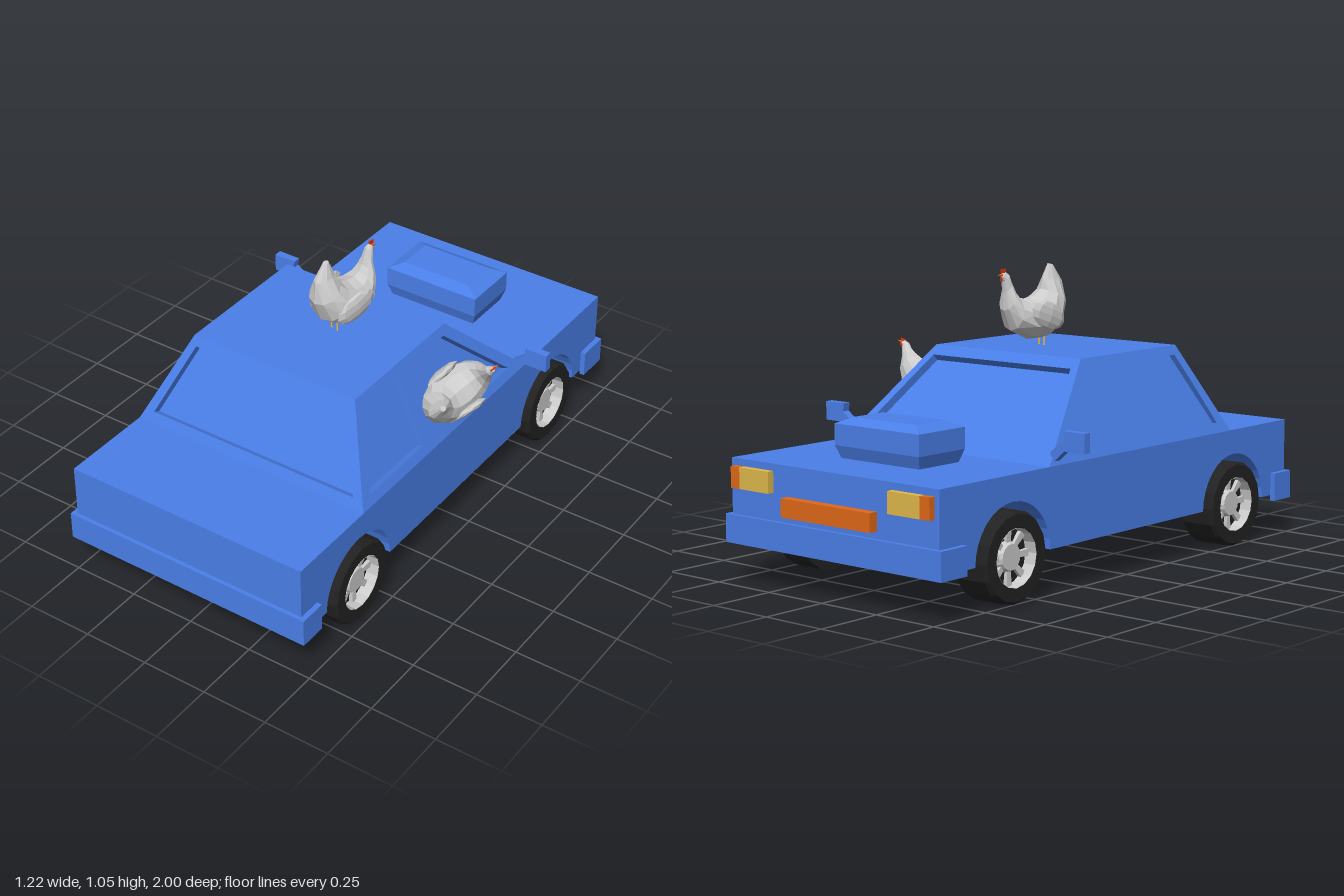
import * as THREE from 'three';

const mat = (color, extra = {}) => new THREE.MeshStandardMaterial({ color, flatShading: true, ...extra });
const BLUE = mat(0x4a7fe8), TYRE = mat(0x222222), GREY = mat(0xcccccc, { side: THREE.DoubleSide });
const ORANGE = mat(0xe06818), YELLOW = mat(0xe0b84a), RED = mat(0xcc3311);

function add(parent, name, geometry, material, x = 0, y = 0, z = 0) {
  const mesh = new THREE.Mesh(geometry, material);
  mesh.name = name;
  mesh.position.set(x, y, z);
  parent.add(mesh);
  return mesh;
}

function group(parent, name) {
  const g = new THREE.Group();
  g.name = name;
  parent.add(g);
  return g;
}

// Box given by its limits on each axis
function block(parent, name, material, [x0, x1], [y0, y1], [z0, z1]) {
  return add(parent, name, new THREE.BoxGeometry(x1 - x0, y1 - y0, z1 - z0), material,
    (x0 + x1) / 2, (y0 + y1) / 2, (z0 + z1) / 2);
}

// Skin over a row of equal-sized rings, closed at both ends
function loft(rings) {
  const n = rings[0].length, last = (rings.length - 1) * n, index = [];
  for (let i = 0; i < rings.length - 1; i++) {
    for (let j = 0; j < n; j++) {
      const a = i * n + j, b = i * n + (j + 1) % n;
      index.push(a, b, a + n, b, b + n, a + n);
    }
  }
  for (let j = 1; j < n - 1; j++) index.push(0, j + 1, j, last, last + j, last + j + 1);
  const g = new THREE.BufferGeometry().setFromPoints(rings.flat());
  g.setIndex(index);
  g.computeVertexNormals();
  return g;
}

// Sloping cabin wall with recessed windows; points are [distance along wall, height]
const SILL = 0.435, ROOF = 0.755, RECESS = 0.03;
function cabinWall(parent, name, base, along, slope, outline, windows) {
  const stretch = slope.length() / slope.y;
  const toShape = (pts, Type) => new Type(pts.map(([u, y]) => new THREE.Vector2(u, (y - SILL) * stretch)));
  const shape = toShape(outline, THREE.Shape);
  const pane = new THREE.ShapeGeometry(toShape(outline, THREE.Shape));
  shape.holes = windows.map((w) => toShape(w, THREE.Path));
  const frame = new THREE.ExtrudeGeometry(shape, { depth: RECESS, bevelEnabled: false });
  const up = slope.clone().normalize();
  const out = new THREE.Vector3().crossVectors(along, up);
  const wall = group(parent, name);
  wall.quaternion.setFromRotationMatrix(new THREE.Matrix4().makeBasis(along, up, out));
  wall.position.copy(base);
  add(wall, 'windowFrame', frame, BLUE, 0, 0, -RECESS);
  add(wall, 'windowPane', pane, BLUE, 0, 0, -RECESS);
}

const V = (x, y, z) => new THREE.Vector3(x, y, z);

function buildCabin(car) {
  const cabin = group(car, 'cabin');
  const wide = [[-0.478, SILL], [0.478, SILL], [0.3375, ROOF], [-0.3375, ROOF]];
  const screen = [[-0.425, 0.47], [0.425, 0.47], [0.32, 0.722], [-0.32, 0.722]];
  cabinWall(cabin, 'rearScreen', V(0, SILL, 0.625), V(1, 0, 0), V(0, 0.32, -0.155), wide, [screen]);
  cabinWall(cabin, 'windscreen', V(0, SILL, -0.42), V(-1, 0, 0), V(0, 0.32, 0.34), wide, [screen]);
  for (const s of [1, -1]) {
    const side = (pts) => pts.map(([z, y]) => [-s * z, y]);
    cabinWall(cabin, s > 0 ? 'leftSide' : 'rightSide', V(s * 0.478, SILL, 0), V(0, 0, -s), V(-s * 0.1405, 0.32, 0),
      side([[0.625, SILL], [-0.42, SILL], [-0.08, ROOF], [0.47, ROOF]]),
      [side([[0.56, 0.47], [0.23, 0.47], [0.23, 0.722], [0.45, 0.722]]),
        side([[0.03, 0.47], [-0.325, 0.47], [-0.055, 0.722], [0.075, 0.722]])]);
  }
  const roof = new THREE.PlaneGeometry(0.675, 0.55).rotateX(-Math.PI / 2);
  add(cabin, 'roof', roof, BLUE, 0, ROOF, 0.195);
}

const AXLES = [0.65, -0.605];

function buildBody(car) {
  const body = group(car, 'body');
  block(body, 'bodyCore', BLUE, [-0.31, 0.31], [0.155, SILL], [-0.965, 0.985]);
  // Flanks with wheel arches cut out
  const flank = new THREE.Shape();
  flank.moveTo(-0.965, 0.155);
  for (const z of [...AXLES].reverse()) {
    flank.lineTo(z - 0.19, 0.155);
    flank.absarc(z, 0.155, 0.19, Math.PI, 0, true);
  }
  flank.lineTo(0.985, 0.155).lineTo(0.985, SILL).lineTo(-0.965, SILL);
  const geo = new THREE.ExtrudeGeometry(flank, { depth: 0.168, bevelEnabled: false, curveSegments: 8 });
  geo.rotateY(-Math.PI / 2);
  add(body, 'leftFlank', geo, BLUE, 0.478);
  add(body, 'rightFlank', geo, BLUE, -0.31);

  // Wrap-around bumpers
  for (const [name, y0, inner, face, outer] of [['rearBumper', 0.135, 0.895, 0.985, 1], ['frontBumper', 0.14, -0.855, -0.965, -0.98]]) {
    const b = group(body, name), span = (p, q) => [Math.min(p, q), Math.max(p, q)];
    block(b, 'bumperBar', BLUE, [-0.4975, 0.4975], [y0, 0.24], span(face, outer));
    block(b, 'bumperEnd', BLUE, [0.478, 0.4975], [y0, 0.24], span(inner, face));
    block(b, 'bumperEnd', BLUE, [-0.4975, -0.478], [y0, 0.24], span(inner, face));
  }

  // Bonnet scoop: [height, half width, back z, front z]
  const scoop = [[0.435, 0.18, -0.54, -0.735], [0.48, 0.195, -0.525, -0.752], [0.555, 0.195, -0.525, -0.752], [0.577, 0.145, -0.565, -0.71]];
  add(body, 'bonnetScoop', loft(scoop.map(([y, w, b, f]) => [V(w, y, b), V(w, y, f), V(-w, y, f), V(-w, y, b)])), BLUE);

  // Grille and lights
  block(body, 'grille', ORANGE, [-0.205, 0.205], [0.265, 0.33], [-1, -0.96]);
  for (const s of [1, -1]) {
    const xs = (a, b) => (s > 0 ? [a, b] : [-b, -a]);
    block(body, 'headlight', YELLOW, xs(0.275, 0.415), [0.335, 0.41], [-0.99, -0.96]);
    block(body, 'indicator', ORANGE, xs(0.415, 0.4575), [0.335, 0.41], [-0.99, -0.96]);
    // Door mirror with its slanted arm
    const outline = [[0.455, 0.435], [0.515, 0.487], [0.6, 0.487], [0.6, 0.555], [0.51, 0.555], [0.515, 0.525], [0.455, 0.48]];
    const shape = new THREE.Shape(outline.map(([x, y]) => new THREE.Vector2(s * x, y)));
    add(body, 'doorMirror', new THREE.ExtrudeGeometry(shape, { depth: 0.03, bevelEnabled: false }), BLUE, 0, 0, -0.388);
  }
}

// Wheel along y, outer face up
function buildWheel(parent, s, z) {
  const wheel = group(parent, 'wheel');
  wheel.position.set(s * 0.425, 0.158, z);
  wheel.rotation.z = -s * Math.PI / 2;
  const profile = [[0, -0.0675], [0.158, -0.0675], [0.158, 0.055], [0.148, 0.0675], [0.103, 0.0675], [0.103, 0.02], [0, 0.02]];
  add(wheel, 'tyre', new THREE.LatheGeometry(profile.map(([r, y]) => new THREE.Vector2(r, y)), 16), TYRE);
  add(wheel, 'rim', new THREE.CylinderGeometry(0.101, 0.098, 0.046, 16, 1, true), GREY, 0, 0.044);
  add(wheel, 'hub', new THREE.CylinderGeometry(0.045, 0.055, 0.025, 16), GREY, 0, 0.032);
  for (let i = 0; i < 8; i++) {
    const spoke = new THREE.CylinderGeometry(0.013, 0.019, 0.055, 4, 1).rotateY(Math.PI / 4).rotateX(-Math.PI / 2);
    spoke.scale(1, 0.6, 1).translate(0, 0.027, 0.075).rotateY(i * Math.PI / 4);
    add(wheel, 'spoke', spoke, GREY);
  }
}

// Hen facing -z, origin in the middle of its body
function buildHen(parent, name) {
  const hen = group(parent, name);
  // Tail to head: [top z, top y, bottom z, bottom y, half width]
  const sections = [
    [0.09, 0.19, 0.11, 0.185, 0.01], [0.065, 0.14, 0.15, 0.125, 0.028], [0.055, 0.1, 0.157, 0.045, 0.06],
    [0.03, 0.08, 0.125, -0.035, 0.083], [0, 0.07, 0.06, -0.078, 0.09], [-0.035, 0.068, -0.01, -0.08, 0.082],
    [-0.06, 0.078, -0.085, -0.045, 0.064], [-0.075, 0.1, -0.117, 0.03, 0.044], [-0.085, 0.13, -0.116, 0.095, 0.024],
    [-0.095, 0.158, -0.12, 0.135, 0.018], [-0.108, 0.17, -0.128, 0.152, 0.01]];
  const rings = sections.map(([tz, ty, bz, by, w]) => Array.from({ length: 10 }, (_, i) => {
    const a = i * Math.PI / 5, t = (1 + Math.cos(a)) / 2;
    return V(w * Math.sin(a), by + (ty - by) * t, bz + (tz - bz) * t);
  }));
  add(hen, 'henBody', loft(rings), GREY);
  for (const s of [1, -1]) {
    const wing = add(hen, 'wing', new THREE.SphereGeometry(1, 8, 6).scale(0.018, 0.05, 0.085), GREY, s * 0.076, 0.01, 0.03);
    wing.rotation.set(0.35, -s * 0.08, 0);
    add(hen, 'leg', new THREE.CylinderGeometry(0.004, 0.004, 0.05, 5), YELLOW, s * 0.014, -0.083, 0.06);
  }
  add(hen, 'beak', new THREE.ConeGeometry(0.007, 0.022, 5).rotateX(-Math.PI / 2), ORANGE, 0, 0.158, -0.134);
  add(hen, 'comb', new THREE.BoxGeometry(0.004, 0.014, 0.022), RED, 0, 0.173, -0.118);
  add(hen, 'wattle', new THREE.BoxGeometry(0.005, 0.014, 0.007), RED, 0, 0.142, -0.127);
  return hen;
}

export function createModel() {
  const model = new THREE.Group();
  model.name = 'carWithHens';
  const car = group(model, 'car');
  car.position.x = -0.0175;
  buildBody(car);
  buildCabin(car);
  for (const s of [1, -1]) for (const z of AXLES) buildWheel(car, s, z);

  // One hen on the roof, one leaning out of the front window
  const roofHen = buildHen(model, 'roofHen');
  roofHen.position.set(0.035, 0.86, 0.105);
  roofHen.rotation.y = -0.19;
  const windowHen = buildHen(model, 'windowHen');
  windowHen.position.set(0.45, 0.59, 0.02);
  const back = V(-0.43, -0.47, 0.77).normalize();
  const right = V(0.55, 0.54, 0.64).cross(back).normalize();
  windowHen.quaternion.setFromRotationMatrix(new THREE.Matrix4().makeBasis(right, back.clone().cross(right), back));
  return model;
}
